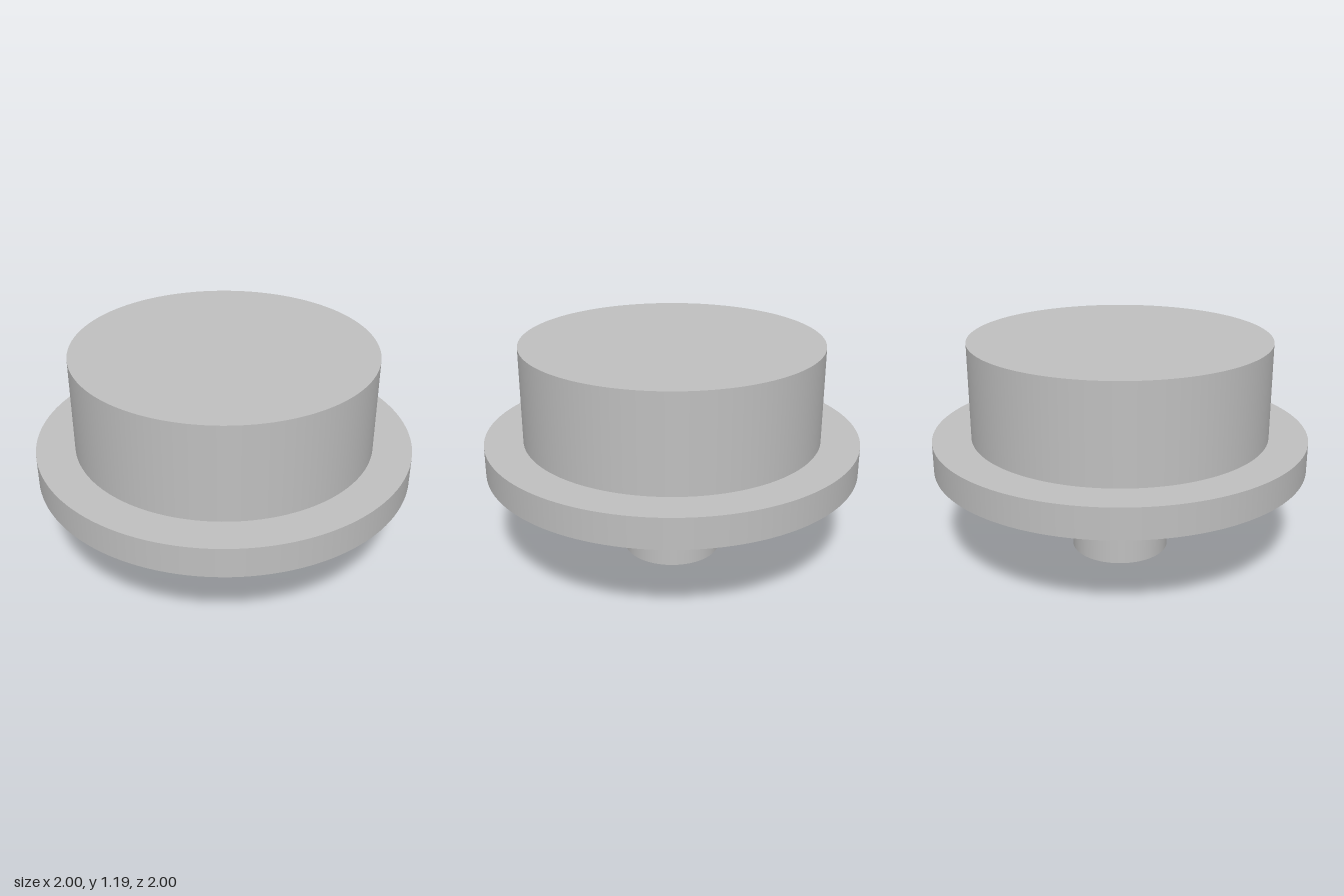
import * as THREE from 'three';

export function createModel() {
  const group = new THREE.Group();
  const grey = new THREE.MeshStandardMaterial({ color: 0xbfbfbf });
  grey.name = 'plain grey';

  // Upright round section between two heights
  function disc(name, radius, bottom, top) {
    const mesh = new THREE.Mesh(
      new THREE.CylinderGeometry(radius, radius, top - bottom, 128), grey);
    mesh.name = name;
    mesh.position.y = (bottom + top) / 2;
    group.add(mesh);
  }

  disc('stem', 0.265, 0, 0.513);
  disc('flange', 1, 0.513, 0.674);
  disc('cap', 0.795, 0.674, 1.187);

  return group;
}
